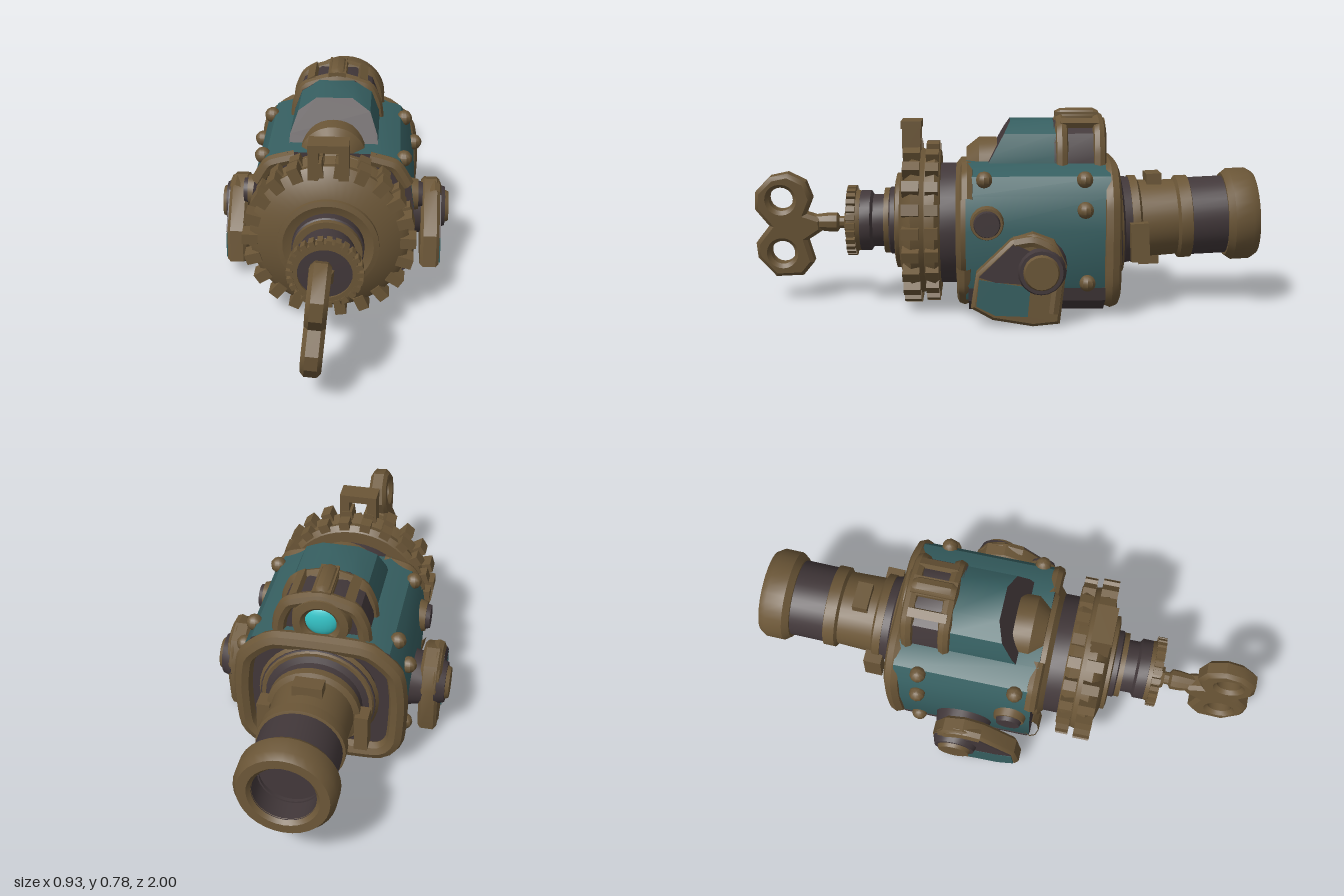
import * as THREE from 'three';
import { toCreasedNormals } from 'three/addons/utils/BufferGeometryUtils.js';

export function createModel() {
  const model = new THREE.Group();
  const mat = (name, color) => {
    const m = new THREE.MeshStandardMaterial({ color });
    m.name = name;
    return m;
  };
  const brass = mat('aged brass', 0x6b5637);
  const iron = mat('dark iron', 0x42383a);
  const teal = mat('teal paint', 0x365f61);
  const glow = mat('cyan lens', 0x35c4c8);

  const add = (name, geo, material, parent = model) => {
    const mesh = new THREE.Mesh(toCreasedNormals(geo, 0.6), material);
    mesh.name = name;
    parent.add(mesh);
    return mesh;
  };
  const box = (name, w, h, d, x, y, z, material, parent) => {
    const mesh = add(name, new THREE.BoxGeometry(w, h, d), material, parent);
    mesh.position.set(x, y, z);
    return mesh;
  };
  // Turned part on the z axis; profile pairs are [radius, z] with z rising
  const turned = (name, profile, material, y = 0.33, parent = model, sides = 32) => {
    const geo = new THREE.LatheGeometry(profile.map(p => new THREE.Vector2(...p)), sides).rotateX(Math.PI / 2);
    const mesh = add(name, geo, material, parent);
    mesh.position.y = y;
    return mesh;
  };
  const shapeOf = pts => new THREE.Shape(pts.map(p => new THREE.Vector2(...p)));
  // Side plate drawn in [z, y], with its thickness along x
  const sidePlate = (name, shape, cx, t, material, bevel = 0, parent = model) => {
    const geo = new THREE.ExtrudeGeometry(shape, {
      depth: t - 2 * bevel, bevelEnabled: bevel > 0, bevelSize: bevel, bevelThickness: bevel,
      bevelOffset: -bevel, bevelSegments: 1, curveSegments: 10,
    });
    geo.translate(0, 0, -t / 2 + bevel).rotateY(-Math.PI / 2);
    const mesh = add(name, geo, material, parent);
    mesh.position.x = cx;
    return mesh;
  };
  const pipe = (name, pts, r, material, closed = false, parent = model) =>
    add(name, new THREE.TubeGeometry(
      new THREE.CatmullRomCurve3(pts.map(p => new THREE.Vector3(...p)), closed, 'catmullrom', 0.25),
      pts.length * 6, r, 8, closed), material, parent);
  const mirrored = pts => [...pts, ...pts.slice().reverse().map(([x, y]) => [-x, y])];
  const prism = (pts, z0, z1) =>
    new THREE.ExtrudeGeometry(shapeOf(pts), { depth: z1 - z0, bevelEnabled: false }).translate(0, 0, z0);

  // Main casing: teal skin with iron ends and a flat iron belly
  const section = mirrored([[0.28, 0.07], [0.31, 0.13], [0.32, 0.34], [0.3, 0.47], [0.26, 0.54], [0.17, 0.58]]);
  add('casing', prism(section, -0.4, 0.15), [iron, teal]);
  add('belly', prism(mirrored([[0.22, 0.018], [0.3, 0.07], [0.31, 0.12]]), -0.38, 0.14), iron);
  const rim = mirrored([[0.22, 0.06], [0.29, 0.13], [0.3, 0.32], [0.28, 0.46], [0.17, 0.55]]);
  pipe('rearFrame', rim.map(([x, y]) => [x, y, -0.405]), 0.036, brass, true);

  // Neck and brass collar joining casing to gear
  turned('frontCollar', [[0, 0.1], [0.24, 0.1], [0.265, 0.13], [0.265, 0.17], [0.24, 0.19], [0, 0.19]], brass, 0.32);
  turned('neck', [[0, 0.16], [0.24, 0.16], [0.24, 0.27], [0, 0.27]], iron, 0.32);

  // Large drive gear with two rows of teeth
  turned('gearWheel', [[0, 0.25], [0.28, 0.25], [0.3, 0.27], [0.285, 0.31], [0.3, 0.36],
    [0.275, 0.385], [0.19, 0.41], [0.19, 0.425], [0.17, 0.43], [0.13, 0.415], [0, 0.415]], brass, 0.33, model, 48);
  const teeth = (name, count, r, w, h, d, z) => {
    const ring = new THREE.Group();
    ring.name = name;
    ring.position.set(0, 0.33, z);
    for (let i = 0; i < count; i++) {
      const a = (i + 0.5) / count * Math.PI * 2;
      box('tooth', w, h, d, -Math.sin(a) * r, Math.cos(a) * r, 0, brass, ring).rotation.z = a;
    }
    model.add(ring);
  };
  teeth('frontTeeth', 22, 0.297, 0.042, 0.06, 0.065, 0.36);
  teeth('rearTeeth', 22, 0.29, 0.042, 0.06, 0.05, 0.28);

  // Loop standing on top of the gear
  for (const s of [-1, 1]) box('loopPost', 0.038, 0.13, 0.07, s * 0.056, 0.655, 0.365, brass);
  box('loopTop', 0.15, 0.03, 0.08, 0, 0.718, 0.365, brass);

  // Stepped winding hub and ratchet
  turned('windingHub', [[0, 0.4], [0.135, 0.4], [0.135, 0.45], [0.105, 0.47], [0.105, 0.52],
    [0.12, 0.53], [0.12, 0.57], [0.1, 0.59], [0.1, 0.612], [0, 0.615]], iron);
  turned('hubBand', [[0.1, 0.455], [0.13, 0.455], [0.13, 0.475], [0.1, 0.475]], brass);
  turned('ratchetWheel', [[0.1, 0.565], [0.118, 0.565], [0.125, 0.6], [0.125, 0.62], [0.1, 0.62], [0.1, 0.565]], brass);
  teeth('ratchetTeeth', 26, 0.128, 0.02, 0.024, 0.035, 0.605);

  // Wind-up key
  const key = new THREE.Group();
  key.name = 'windingKey';
  key.position.set(-0.015, 0.31, 0);
  key.rotation.z = -0.09;
  model.add(key);
  turned('keyNut', [[0, 0.61], [0.055, 0.61], [0.04, 0.64], [0, 0.64]], brass, 0.01, key, 6);
  turned('keyShaft', [[0, 0.63], [0.025, 0.63], [0.025, 0.66], [0.04, 0.67], [0.04, 0.7], [0.03, 0.78], [0, 0.78]], brass, 0.01, key, 10);
  const bow = shapeOf([[0.73, -0.02], [0.79, -0.06], [0.765, -0.15], [0.81, -0.205], [0.92, -0.21], [0.99, -0.13],
    [0.995, -0.07], [0.94, 0], [0.995, 0.07], [0.99, 0.14], [0.93, 0.2], [0.86, 0.215], [0.79, 0.18],
    [0.765, 0.11], [0.79, 0.05], [0.73, 0.03]]);
  for (const s of [-1, 1]) {
    const hole = new THREE.Path();
    hole.absarc(0.89, s * 0.11, 0.048, 0, Math.PI * 2, true);
    bow.holes.push(hole);
  }
  sidePlate('keyBow', bow, 0, 0.075, brass, 0.015, key);

  // Barrel, tilted slightly upward toward the muzzle
  const barrel = new THREE.Group();
  barrel.name = 'barrel';
  barrel.position.set(0, 0.33, -0.45);
  barrel.rotation.x = 0.05;
  model.add(barrel);
  const tube = (name, pts, m) => turned(name, pts, m, 0, barrel);
  tube('barrelRoot', [[0, -0.08], [0.165, -0.08], [0.175, -0.02], [0.22, 0], [0.22, 0.06], [0, 0.06]], iron);
  tube('rootRing', [[0.17, -0.01], [0.21, -0.01], [0.23, 0.02], [0.21, 0.05], [0.17, 0.05]], brass);
  tube('barrelSleeve', [[0, -0.29], [0.15, -0.29], [0.165, -0.285], [0.165, -0.24], [0.15, -0.23],
    [0.155, -0.09], [0.175, -0.08], [0.175, -0.05], [0, -0.05]], brass);
  tube('barrelPipe', [[0.11, -0.45], [0.155, -0.45], [0.155, -0.27], [0, -0.27]], iron);
  tube('muzzle', [[0.115, -0.53], [0.13, -0.548], [0.165, -0.548], [0.183, -0.52], [0.183, -0.45],
    [0.165, -0.425], [0.115, -0.425]], brass);
  const bore = tube('bore', [[0, -0.43], [0.116, -0.43], [0.116, -0.535]], iron);
  bore.material = iron;
  for (const s of [-1, 1]) box('barrelLug', 0.05, 0.15, 0.07, s * 0.185, -0.06, -0.07, brass, barrel);
  box('barrelCatch', 0.11, 0.05, 0.06, 0, 0.16, -0.15, brass, barrel);
  box('lowerCatch', 0.09, 0.04, 0.08, 0, -0.16, -0.12, brass, barrel);

  // Upper housing with a sloping iron front
  const hood = mirrored([[0.175, 0.55], [0.17, 0.61], [0.14, 0.69], [0.07, 0.735]]);
  const hoodGeo = prism(hood, -0.2, 0.08);
  const p = hoodGeo.attributes.position;
  for (let i = 0; i < p.count; i++) if (p.getZ(i) > 0) p.setZ(i, 0.08 - (p.getY(i) - 0.55) * 0.55);
  add('upperHousing', hoodGeo, [iron, teal]);
  turned('housingCollar', [[0, 0.03], [0.13, 0.03], [0.13, 0.1], [0.09, 0.15], [0, 0.15]], brass, 0.535);

  // Rear lens housing: iron core, brass hoops, cap and glowing eye
  add('lensCore', prism(hood, -0.36, -0.19), iron);
  for (const z of [-0.22, -0.365])
    pipe('lensHoop', [[-0.165, 0.55, z], [-0.155, 0.63, z], [-0.12, 0.7, z], [0, 0.735, z],
      [0.12, 0.7, z], [0.155, 0.63, z], [0.165, 0.55, z]], 0.027, brass);
  for (const s of [-1, 1]) box('hoopBridge', 0.035, 0.03, 0.15, s * 0.1, 0.725, -0.29, brass).rotation.z = -s * 0.5;
  box('topStrap', 0.07, 0.05, 0.17, 0, 0.74, -0.285, brass);
  turned('topCap', [[0, -0.37], [0.03, -0.37], [0.04, -0.35], [0.04, -0.22], [0.03, -0.2], [0, -0.2]], brass, 0.739, model, 10);
  turned('lensRing', [[0.06, -0.36], [0.06, -0.385], [0.075, -0.4], [0.105, -0.395], [0.115, -0.35], [0.06, -0.35]], brass, 0.635);
  const lens = add('lens', new THREE.SphereGeometry(0.066, 20, 12), glow);
  lens.scale.z = 0.45;
  lens.position.set(0, 0.635, -0.365);

  // Matching fittings on both sides
  const knob = (name, r, x0, x1, y, z, m, sides = 20) => {
    const mesh = add(name, new THREE.CylinderGeometry(r * 0.85, r, Math.abs(x1 - x0), sides), m);
    mesh.rotation.z = -Math.sign(x1) * Math.PI / 2;
    mesh.position.set((x0 + x1) / 2, y, z);
  };
  const armOutline = [[0.13, 0.07], [0.11, 0.2], [-0.02, 0.325], [-0.1, 0.35], [-0.18, 0.32], [-0.225, 0.23],
    [-0.2, 0.01], [-0.1, 0], [0.05, 0.025]];
  for (const s of [-1, 1]) {
    knob('armAxle', 0.12, s * 0.28, s * 0.37, 0.21, -0.12, iron);
    sidePlate('sideArm', shapeOf(armOutline), s * 0.388, 0.076, brass, 0.012);
    sidePlate('armIronPanel', shapeOf([[0.1, 0.19], [-0.03, 0.315], [-0.1, 0.28], [-0.1, 0.16], [0.04, 0.17]]), s * 0.427, 0.008, iron);
    sidePlate('armTealPanel', shapeOf([[0.11, 0.08], [0.1, 0.18], [0.04, 0.17], [-0.09, 0.15], [-0.08, 0.04], [0.04, 0.045]]),
      s * 0.427, 0.008, teal);
    pipe('armArch', [[-0.03, 0.31], [-0.1, 0.32], [-0.165, 0.29], [-0.193, 0.22], [-0.175, 0.05]]
      .map(([z, y]) => [s * 0.405, y, z]), 0.028, brass);
    knob('hubCollar', 0.095, s * 0.41, s * 0.45, 0.21, -0.13, iron);
    knob('hubCap', 0.072, s * 0.44, s * 0.465, 0.21, -0.13, brass);

    // Side port, rivets and lower corner bracket
    knob('portRing', 0.07, s * 0.29, s * 0.335, 0.37, 0.07, brass);
    knob('portPlug', 0.055, s * 0.32, s * 0.352, 0.37, 0.07, iron);
    for (const [x, y, z] of [[0.275, 0.53, 0.08], [0.318, 0.42, -0.3], [0.312, 0.14, -0.31], [0.275, 0.53, -0.3]]) {
      const rivet = add('rivet', new THREE.SphereGeometry(0.032, 10, 8), brass);
      rivet.position.set(s * x, y, z);
    }
    pipe('cornerBracket', [[0.3, 0.2], [0.28, 0.12], [0.2, 0.06]].map(([x, y]) => [s * x, y, 0.155]), 0.03, brass);
    pipe('shoulderBracket', [[0.29, 0.45], [0.24, 0.53], [0.14, 0.56]].map(([x, y]) => [s * x, y, 0.145]), 0.028, brass);
  }
  return model;
}
